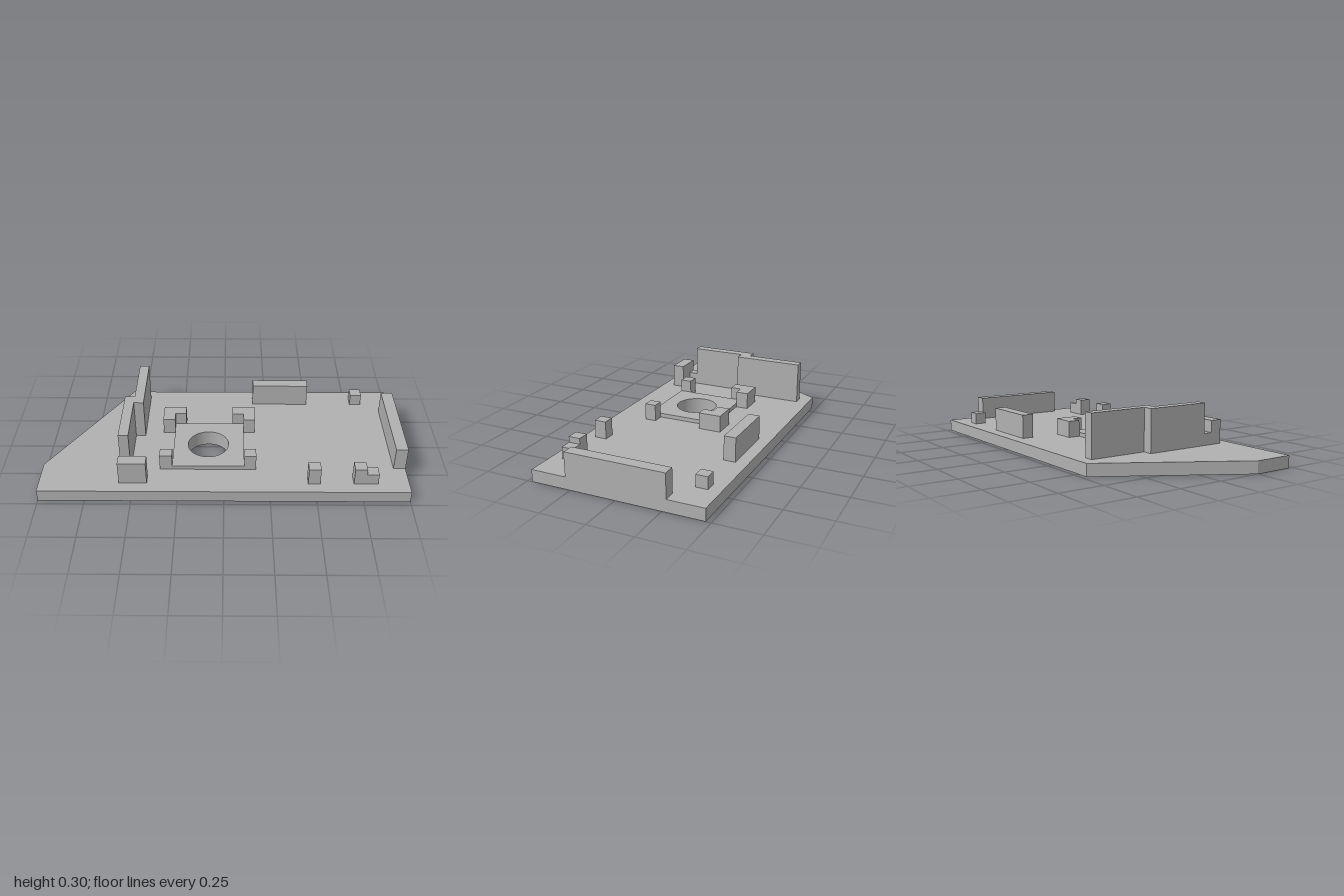
import * as THREE from 'three';

const BASE = 0.067; // thickness of the base plate
const HOLE = { x: -0.09, z: 0.09, r: 0.115 };

export function createModel() {
  const model = new THREE.Group();
  model.name = 'mountingPlate';
  const grey = new THREE.MeshStandardMaterial({ color: 0xb0b0b0 });
  grey.name = 'plain grey';

  // Extrudes a plan outline of [x, z] points upward from y0 to y1
  function slab(name, points, y0, y1, withHole = false) {
    const shape = new THREE.Shape(points.map(([x, z]) => new THREE.Vector2(x, -z)));
    if (withHole) {
      const hole = new THREE.Path();
      hole.absarc(HOLE.x, -HOLE.z, HOLE.r, 0, Math.PI * 2, true);
      shape.holes.push(hole);
    }
    const geometry = new THREE.ExtrudeGeometry(shape, {
      depth: y1 - y0, bevelEnabled: false, curveSegments: 32,
    });
    geometry.rotateX(-Math.PI / 2).translate(0, y0, 0);
    const mesh = new THREE.Mesh(geometry, grey);
    mesh.name = name;
    model.add(mesh);
  }

  // Upright block standing on the plate
  function block(name, x0, x1, z0, z1, top) {
    const mesh = new THREE.Mesh(new THREE.BoxGeometry(x1 - x0, top - BASE, z1 - z0), grey);
    mesh.position.set((x0 + x1) / 2, (BASE + top) / 2, (z0 + z1) / 2);
    mesh.name = name;
    model.add(mesh);
  }

  // Base plate with one slanted corner, and raised pad around the hole
  slab('basePlate', [[-1, 0.473], [1, 0.473], [1, -0.473], [-0.567, -0.473], [-1, 0.25]], 0, BASE, true);
  slab('raisedPad', [[-0.285, 0.287], [0.112, 0.287], [0.112, -0.108], [-0.285, -0.108]], BASE, 0.09, true);

  // Corner brackets of the pad: L-shaped at the back, square at the front
  for (const [side, outer, edge, inner] of [['right', -0.353, -0.285, -0.223], ['left', 0.176, 0.112, 0.047]]) {
    slab(side + 'BackBracket', [
      [outer, -0.177], [inner, -0.177], [inner, -0.108],
      [edge, -0.108], [edge, -0.05], [outer, -0.05],
    ], BASE, 0.16);
    block(side + 'FrontBracket', Math.min(outer, edge), Math.max(outer, edge), 0.224, 0.287, 0.16);
  }

  // Tall stepped wall with its low link and end block
  block('tallWallBack', -0.512, -0.457, -0.406, -0.017, 0.3);
  block('tallWallFront', -0.567, -0.512, -0.077, 0.29, 0.3);
  block('lowLink', -0.567, -0.512, 0.29, 0.34, 0.133);
  block('endBlock', -0.567, -0.416, 0.34, 0.406, 0.2);

  // Edge walls
  block('backWall', 0.171, 0.5, -0.406, -0.341, 0.2);
  block('sideWall', 0.934, 1, -0.274, 0.275, 0.2);

  // Small posts
  block('backPost', 0.766, 0.831, -0.406, -0.341, 0.133);
  block('frontPost', 0.454, 0.52, 0.34, 0.406, 0.165);
  block('stepPostHigh', 0.7, 0.766, 0.34, 0.406, 0.165);
  block('stepPostLow', 0.766, 0.831, 0.34, 0.406, 0.133);

  return model;
}
